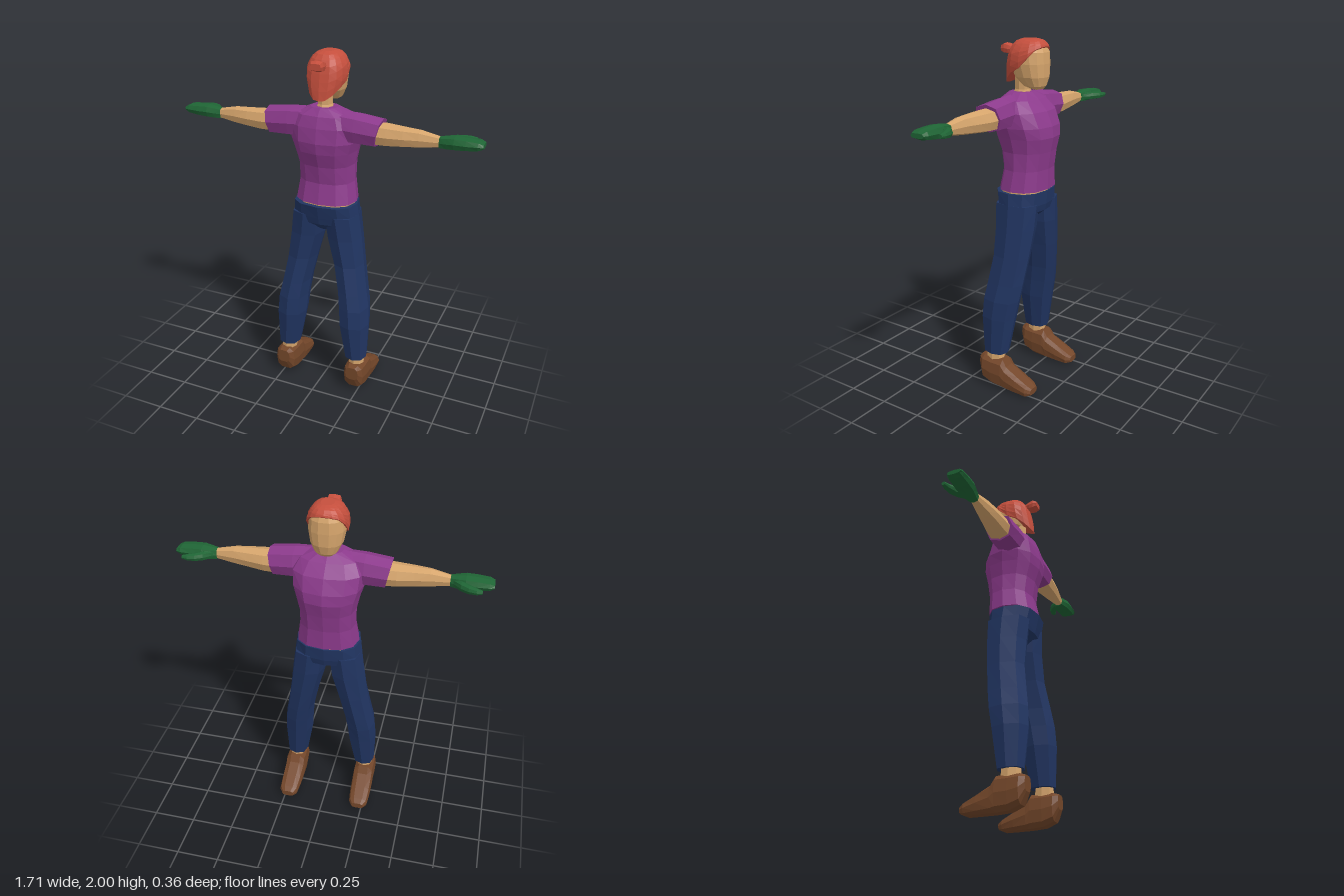
import * as THREE from 'three';

const paint = (name, color) => {
  const m = new THREE.MeshStandardMaterial({ color, flatShading: true });
  m.name = name;
  return m;
};

// Rounded closed ring across one axis: spans [a0,a1] and [b0,b1], optional slant along the axis
function ring(axis, pos, a0, a1, b0, b1, sides = 8, power = 2.5, slant = 0) {
  const pts = [];
  const bend = (v) => Math.sign(v) * Math.pow(Math.abs(v), 2 / power);
  for (let i = 0; i < sides; i++) {
    const t = (i / sides) * Math.PI * 2;
    const u = bend(Math.cos(t)), v = bend(Math.sin(t));
    const a = (a0 + a1) / 2 + u * (a1 - a0) / 2;
    const b = (b0 + b1) / 2 + v * (b1 - b0) / 2;
    if (axis === 'y') pts.push(new THREE.Vector3(a, pos, b));        // a = x, b = z
    else if (axis === 'x') pts.push(new THREE.Vector3(pos + slant * u, a, b)); // a = y, b = z
    else pts.push(new THREE.Vector3(a, b, pos));                     // a = x, b = y
  }
  return pts;
}

// Skin rings into a closed solid whose faces always point outward
function loft(rings, mirror = false) {
  const tris = [], n = rings[0].length;
  const centre = (r) => r.reduce((s, p) => s.add(p), new THREE.Vector3()).divideScalar(n);
  const first = centre(rings[0]), last = centre(rings[rings.length - 1]);
  for (let j = 0; j < n; j++) {
    const k = (j + 1) % n;
    for (let i = 0; i + 1 < rings.length; i++) {
      const a = rings[i][j], b = rings[i][k], c = rings[i + 1][k], d = rings[i + 1][j];
      tris.push([a, b, c], [a, c, d]);
    }
    tris.push([first, rings[0][k], rings[0][j]]);
    tris.push([last, rings[rings.length - 1][j], rings[rings.length - 1][k]]);
  }
  let volume = 0;
  for (const [a, b, c] of tris) volume += a.clone().sub(first).dot(b.clone().sub(first).cross(c.clone().sub(first)));
  const flip = (volume < 0) !== mirror, pos = [];
  for (const [a, b, c] of tris) {
    for (const p of flip ? [a, c, b] : [a, b, c]) pos.push(mirror ? -p.x : p.x, p.y, p.z);
  }
  const g = new THREE.BufferGeometry();
  g.setAttribute('position', new THREE.Float32BufferAttribute(pos, 3));
  g.computeVertexNormals();
  return g;
}

// Linear lookup in rows of [key, ...values]
function lookup(rows, key) {
  let i = 0;
  while (i < rows.length - 2 && key > rows[i + 1][0]) i++;
  const t = THREE.MathUtils.clamp((key - rows[i][0]) / (rows[i + 1][0] - rows[i][0]), 0, 1);
  return rows[i].map((v, c) => v + (rows[i + 1][c] - v) * t);
}

export function createModel() {
  const model = new THREE.Group();
  model.name = 'person';
  const skin = paint('skin', 0xd6a56c), shirt = paint('purple shirt', 0x8c3a8c), denim = paint('navy denim', 0x213562);
  const red = paint('red cap', 0xc54f3d), green = paint('green glove', 0x1f6535), brown = paint('brown leather', 0x74472a);

  const add = (name, geometry, material) => {
    const m = new THREE.Mesh(geometry, material);
    m.name = name;
    model.add(m);
  };
  const pair = (name, rings, material) => {
    add('left' + name, loft(rings), material);
    add('right' + name, loft(rings, true), material);
  };
  // Symmetric rings from rows of [y, half width, z front, z back]
  const body = (rows, sides, power) => loft(rows.map(([y, w, f, b]) => ring('y', y, -w, w, f, b, sides, power)));
  const along = (axis, rows, sides, power) => rows.map((r) => ring(axis, ...r, sides, power));

  // Head and neck, the face towards -z
  add('head', body([
    [1.735, 0.035, -0.08, -0.035], [1.752, 0.06, -0.096, 0.02], [1.80, 0.085, -0.11, 0.07],
    [1.87, 0.098, -0.112, 0.1], [1.93, 0.095, -0.108, 0.1], [1.965, 0.072, -0.094, 0.07], [1.985, 0.04, -0.06, 0.04],
  ], 14, 2.4), skin);
  add('neck', body([[1.69, 0.055, -0.01, 0.1], [1.73, 0.04, 0.0, 0.085], [1.80, 0.042, -0.005, 0.085]], 8, 2.3), skin);

  // Cap: a shell that ends at a hairline falling from brow to nape
  const capRows = [
    [1.755, 0.066, -0.09, 0.135], [1.80, 0.092, -0.114, 0.131], [1.87, 0.109, -0.117, 0.12],
    [1.93, 0.105, -0.114, 0.108], [1.97, 0.084, -0.102, 0.086], [1.99, 0.062, -0.085, 0.066], [2.0, 0.035, -0.05, 0.035],
  ];
  const hairline = [[-1, 1.96], [-0.6, 1.94], [0, 1.85], [0.55, 1.81], [0.85, 1.768], [1, 1.76]];
  const capSides = 16, capRings = [];
  for (let i = 0; i <= 7; i++) {
    const pts = [];
    for (let j = 0; j < capSides; j++) {
      const edge = lookup(hairline, Math.sin((j / capSides) * Math.PI * 2))[1];
      const t = i / 7;
      const [y, w, f, b] = lookup(capRows, edge + (2 - edge) * (1 - (1 - t) ** 1.5));
      pts.push(ring('y', y, -w, w, f, b, capSides, 2.5)[j]);
    }
    capRings.push(pts);
  }
  add('cap', loft(capRings), red);
  add('capBun', loft(along('z', [
    [0.09, -0.028, 0.028, 1.925, 1.955], [0.12, -0.036, 0.036, 1.915, 1.965],
    [0.145, -0.037, 0.037, 1.915, 1.972], [0.167, -0.03, 0.03, 1.925, 1.96],
  ], 8, 4)), red);

  // Shirt
  add('shirtBody', body([
    [1.185, 0.175, -0.125, 0.148], [1.3, 0.157, -0.125, 0.125], [1.4, 0.157, -0.14, 0.14],
    [1.48, 0.174, -0.157, 0.168], [1.54, 0.193, -0.15, 0.177], [1.62, 0.2, -0.115, 0.165],
    [1.68, 0.165, -0.06, 0.145], [1.718, 0.075, -0.015, 0.112],
  ], 12, 2.4), shirt);
  pair('Sleeve', [
    ring('x', 0.06, 1.54, 1.71, -0.02, 0.13), ring('x', 0.19, 1.535, 1.703, -0.032, 0.136),
    ring('x', 0.315, 1.535, 1.685, -0.03, 0.134, 8, 2.5, 0.015),
  ], shirt);
  add('waist', body([[1.15, 0.165, -0.112, 0.138], [1.2, 0.165, -0.112, 0.138]], 12, 2.4), skin);

  // Arms: rows of x, y range, z range
  pair('Arm', along('x', [
    [0.28, 1.545, 1.668, -0.022, 0.122], [0.36, 1.545, 1.664, -0.015, 0.118], [0.45, 1.553, 1.659, 0.0, 0.11],
    [0.53, 1.56, 1.655, 0.013, 0.098], [0.65, 1.578, 1.63, 0.032, 0.077],
  ]), skin);
  pair('Glove', along('x', [
    [0.632, 1.573, 1.634, 0.027, 0.082], [0.67, 1.573, 1.64, 0.012, 0.092], [0.71, 1.576, 1.646, 0.0, 0.101],
    [0.77, 1.58, 1.643, 0.0, 0.102], [0.83, 1.588, 1.638, 0.0, 0.098], [0.856, 1.6, 1.625, 0.01, 0.09],
  ], 8, 3), green);
  pair('Thumb', along('x', [
    [0.645, 1.585, 1.625, 0.025, 0.06], [0.69, 1.585, 1.632, -0.026, 0.04], [0.73, 1.588, 1.63, -0.048, 0.005],
    [0.77, 1.594, 1.626, -0.056, -0.018], [0.8, 1.6, 1.62, -0.052, -0.03],
  ]), green);

  // Trousers
  add('trouserHips', body([
    [1.01, 0.04, -0.04, 0.08], [1.06, 0.17, -0.105, 0.135], [1.1, 0.192, -0.115, 0.145], [1.175, 0.182, -0.12, 0.163],
  ], 12, 2.5), denim);
  pair('TrouserLeg', along('y', [
    [1.11, 0.0, 0.191, -0.112, 0.142], [0.97, 0.017, 0.21, -0.105, 0.131], [0.81, 0.06, 0.23, -0.09, 0.131],
    [0.65, 0.095, 0.257, -0.07, 0.155], [0.55, 0.107, 0.278, -0.053, 0.17], [0.44, 0.115, 0.286, -0.03, 0.175],
    [0.218, 0.155, 0.28, 0.01, 0.156],
  ]), denim);

  // Feet
  pair('Ankle', along('y', [[0.15, 0.18, 0.268, 0.03, 0.142], [0.24, 0.18, 0.262, 0.035, 0.142]]), skin);
  pair('Shoe', along('z', [
    [0.178, 0.185, 0.265, 0.095, 0.178], [0.15, 0.165, 0.287, 0.03, 0.187], [0.09, 0.16, 0.29, 0.005, 0.187],
    [0.02, 0.16, 0.29, 0.0, 0.187], [-0.005, 0.16, 0.29, 0.0, 0.145], [-0.08, 0.163, 0.29, 0.0, 0.105],
    [-0.15, 0.17, 0.285, 0.0, 0.068], [-0.178, 0.19, 0.265, 0.012, 0.05],
  ], 10, 3), brown);

  return model;
}
